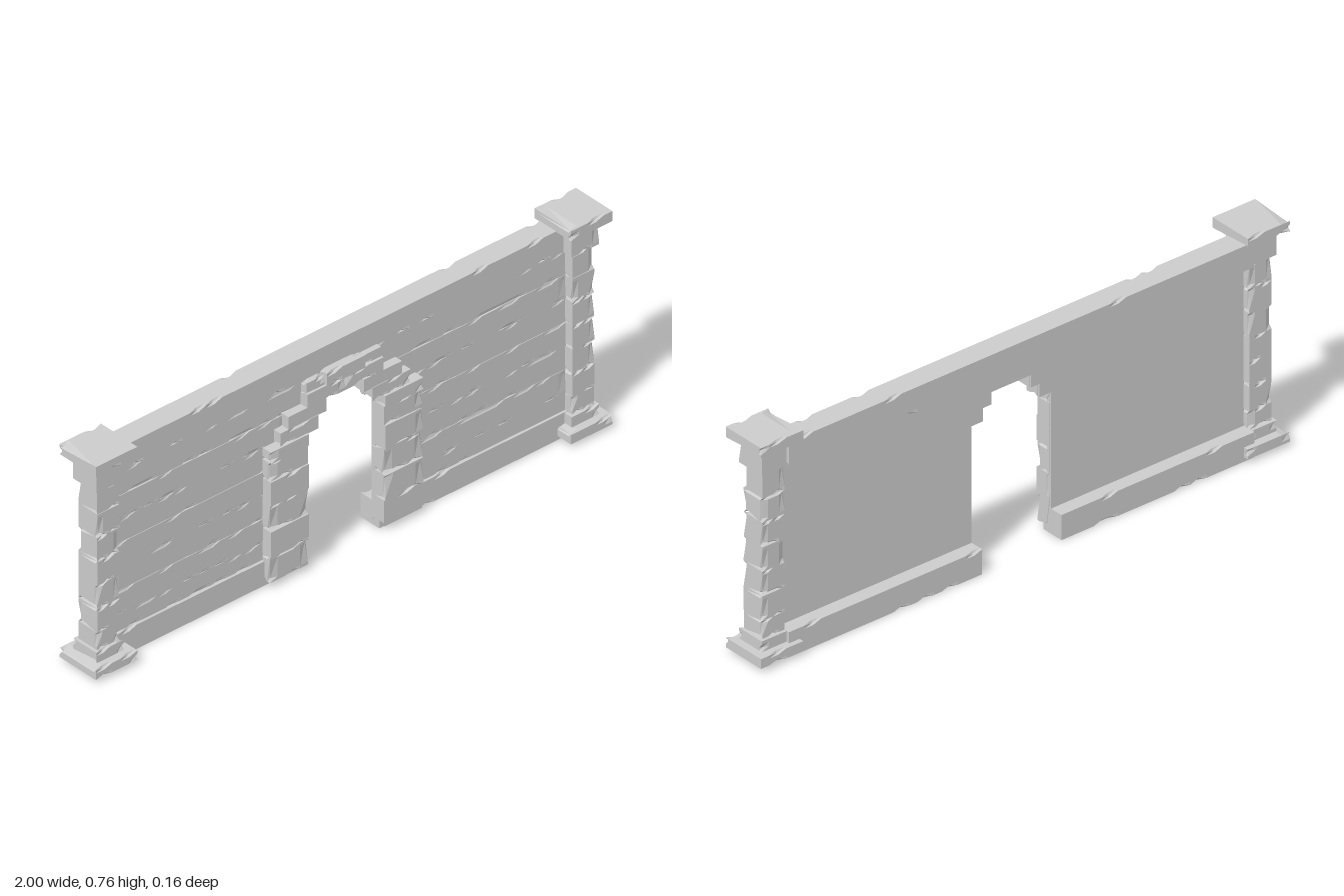
import * as THREE from 'three';

const stone = new THREE.MeshStandardMaterial({ color: 0xcccccc, flatShading: true });

// Repeatable pseudo-random value from a position and a seed
function hash(x, y, z, s) {
  const v = Math.sin(x * 127.1 + y * 311.7 + z * 74.7 + s * 19.19) * 43758.5453;
  return v - Math.floor(v);
}

let seed = 1;

// Stone block between two corners, with small chips knocked out of its edges
function block(parent, name, [x0, x1], [y0, y1], [z0, z1], chance = 0.2) {
  const size = [x1 - x0, y1 - y0, z1 - z0];
  const half = size.map((v) => v / 2);
  const nx = Math.max(4, Math.round(size[0] / 0.03));
  const geo = new THREE.BoxGeometry(...size, nx, 3, 3);
  const p = geo.attributes.position;
  const s = seed++;
  for (let i = 0; i < p.count; i++) {
    const c = [p.getX(i), p.getY(i), p.getZ(i)].map((v) => Math.round(v * 1e4) / 1e4);
    const edge = c.map((v, k) => Math.abs(v) > half[k] - 0.0002);
    const r = hash(...c, s);
    // Keep the inner loops close to the edges so that chips stay small
    const q = c.map((v, k) => {
      const inset = Math.min(0.011, half[k] * 0.6);
      return k > 0 && !edge[k] ? Math.sign(v) * (half[k] - inset) : edge[k] ? Math.sign(v) * half[k] : v;
    });
    if (edge.filter(Boolean).length === 2 && r < chance) {
      for (let k = 0; k < 3; k++) {
        if (edge[k]) q[k] -= Math.sign(q[k]) * Math.min(0.007, half[k] * 0.4);
      }
    }
    p.setXYZ(i, ...q);
  }
  geo.translate((x0 + x1) / 2, (y0 + y1) / 2, (z0 + z1) / 2);
  geo.computeVertexNormals();
  const mesh = new THREE.Mesh(geo, stone);
  mesh.name = name;
  parent.add(mesh);
  return mesh;
}

// The same block on both sides of the doorway
function pair(parent, name, [x0, x1], y, z, chance) {
  block(parent, name + 'Left', [x0, x1], y, z, chance);
  block(parent, name + 'Right', [-x1, -x0], y, z, chance);
}

export function createModel() {
  const model = new THREE.Group();
  model.name = 'stoneWallWithDoorway';
  const group = (name) => {
    const g = new THREE.Group();
    g.name = name;
    model.add(g);
    return g;
  };

  // Thin wall core with a stepped doorway
  const half = [[0.88, 0.01], [0.15, 0.01], [0.15, 0.48], [0.107, 0.48],
    [0.107, 0.525], [0.075, 0.525], [0.075, 0.567]];
  const outline = [...half, ...half.map(([x, y]) => [-x, y]).reverse(), [-0.88, 0.66], [0.88, 0.66]];
  const shape = new THREE.Shape(outline.map(([x, y]) => new THREE.Vector2(x, y)));
  const core = new THREE.Mesh(
    new THREE.ExtrudeGeometry(shape, { depth: 0.019, bevelEnabled: false }), stone);
  core.geometry.translate(0, 0, -0.015);
  core.name = 'wallCore';
  model.add(core);

  // Long stone courses on the front of the wall
  const courses = group('wallCourses');
  const levels = [0.085, 0.145, 0.228, 0.311, 0.394, 0.477, 0.56, 0.645];
  for (let i = 0; i < levels.length - 1; i++) {
    const inner = i === 6 ? 0.1 : i === 5 ? 0.2 : 0.25;
    pair(courses, 'course' + i, [inner, 0.88], [levels[i], levels[i + 1]],
      [-0.002, 0.011 + 0.002 * (i % 2)], 0.25);
  }

  // Plinth and top rail, projecting at the back
  pair(model, 'plinth', [0.15, 0.88], [0, 0.085], [-0.0625, 0.02], 0.06);
  pair(model, 'topRail', [0, 0.88], [0.645, 0.73], [-0.0625, 0.015], 0.06);

  // Door jambs
  const jambs = group('doorJambs');
  const joints = [0.02, 0.11, 0.2, 0.29, 0.375, 0.44, 0.48];
  for (let i = 0; i < joints.length - 1; i++) {
    pair(jambs, 'jambStone' + i, [0.148, 0.295], [joints[i], joints[i + 1]],
      [-0.008, i % 2 ? 0.049 : 0.044], 0.25);
  }

  // Stepped arch stones and keystone
  const arch = group('arch');
  pair(arch, 'lowerArchStone', [0.105, 0.252], [0.478, 0.525], [-0.008, 0.042]);
  pair(arch, 'middleArchStone', [0.073, 0.22], [0.523, 0.567], [-0.008, 0.04]);
  pair(arch, 'upperArchStone', [0, 0.147], [0.565, 0.614], [-0.008, 0.042]);
  pair(arch, 'shoulderStone', [0.075, 0.145], [0.612, 0.648], [-0.008, 0.034]);
  block(arch, 'keystone', [-0.075, 0.075], [0.612, 0.656], [-0.008, 0.045]);

  // End pillars: base slab, base block, shaft stones, neck and cap
  const pillars = group('pillars');
  pair(pillars, 'baseSlab', [0.84, 1], [0.015, 0.048], [-0.08, 0.08], 0.15);
  pair(pillars, 'baseBlock', [0.867, 0.973], [0.048, 0.084], [-0.051, 0.052], 0.15);
  const shaft = [0.083, ...levels.slice(1)];
  for (let i = 0; i < shaft.length - 1; i++) {
    pair(pillars, 'shaftStone' + i, [0.878, 0.962], [shaft[i], shaft[i + 1]],
      [-0.041, i % 2 ? 0.044 : 0.042], 0.3);
  }
  pair(pillars, 'neck', [0.867, 0.973], [0.645, 0.73], [-0.051, 0.052], 0.15);
  pair(pillars, 'cap', [0.84, 1], [0.728, 0.763], [-0.08, 0.08], 0.15);

  return model;
}
